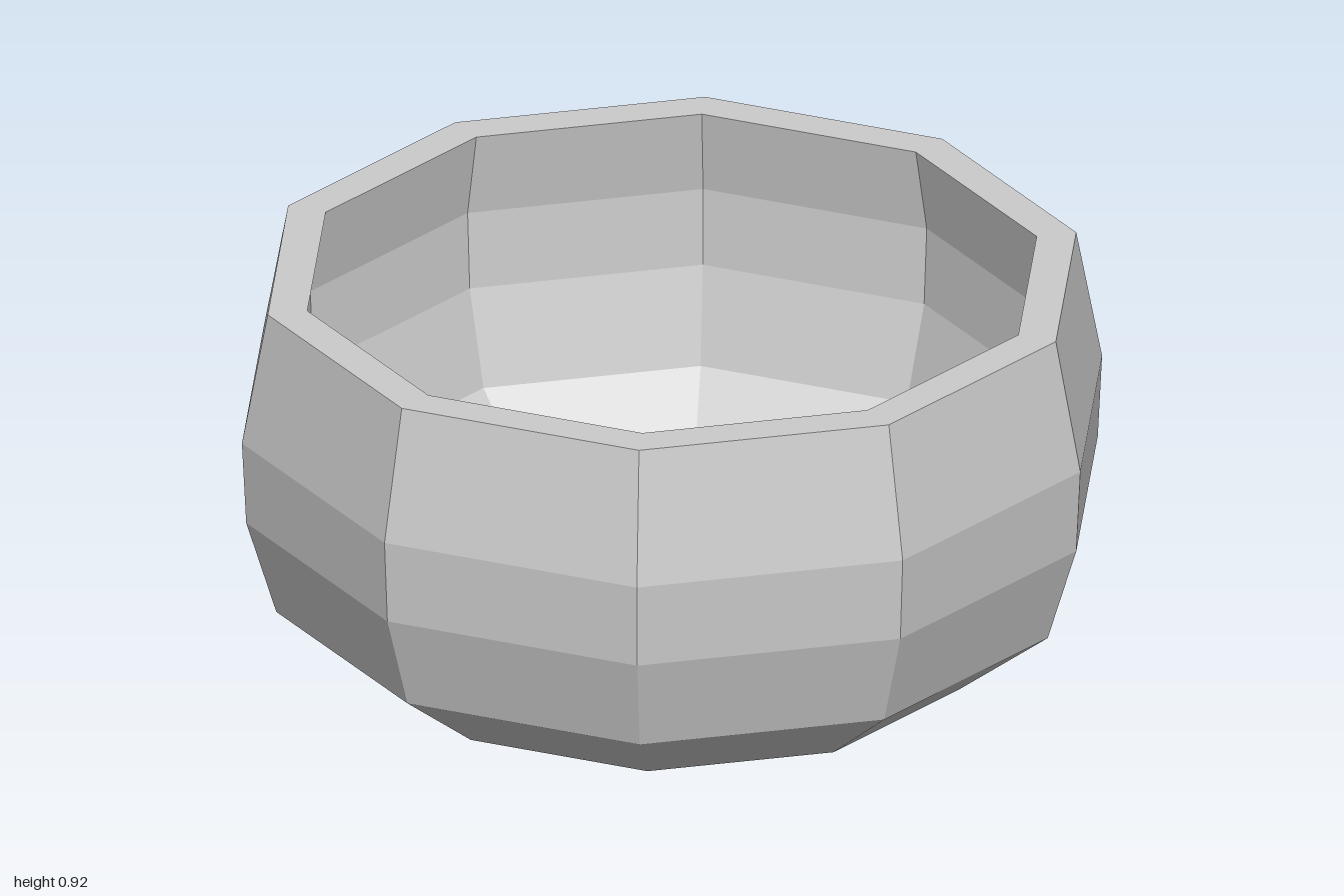
import * as THREE from 'three';

const SIDES = 10;

export function createModel() {
  const model = new THREE.Group();
  model.name = 'bowl';
  const material = new THREE.MeshStandardMaterial({ color: 0xcccccc, flatShading: true });

  // Ten-sided lathe with a corner on the x axis
  const addLathe = (name, profile) => {
    const points = profile.map(([r, y]) => new THREE.Vector2(r, y));
    const mesh = new THREE.Mesh(new THREE.LatheGeometry(points, SIDES, Math.PI / 2), material);
    mesh.name = name;
    model.add(mesh);
  };

  // Base and bulging outer wall, bottom to top
  addLathe('outerWall', [[0, 0], [0.7, 0], [0.92, 0.17], [0.99, 0.4], [1, 0.6], [0.94, 0.915]]);
  // Flat rim
  addLathe('rim', [[0.94, 0.915], [0.848, 0.915]]);
  // Inner wall and floor, top to bottom
  addLathe('innerWall', [[0.848, 0.915], [0.886, 0.71], [0.877, 0.525], [0.817, 0.3], [0.62, 0.13], [0, 0.13]]);

  return model;
}
